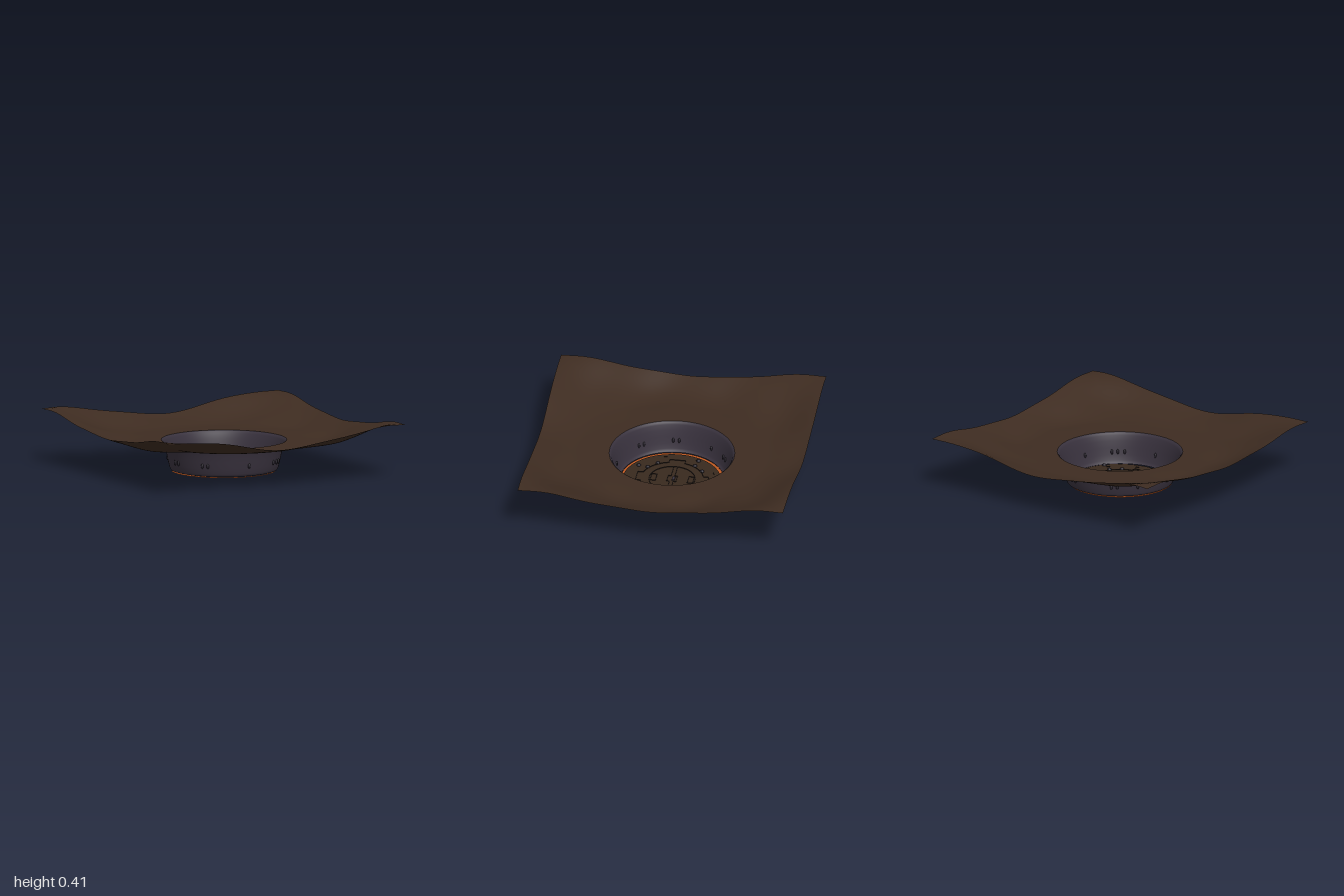
import * as THREE from 'three';

const soil = new THREE.MeshStandardMaterial({ name: 'brown soil', color: 0x3e2c21, side: THREE.DoubleSide });
const stone = new THREE.MeshStandardMaterial({ name: 'purple stone', color: 0x39323e, side: THREE.DoubleSide });
const glow = new THREE.MeshStandardMaterial({ name: 'orange', color: 0xbf5a22, side: THREE.DoubleSide });
const hatch = new THREE.MeshStandardMaterial({ name: 'brown hatch', color: 0x38291e, side: THREE.DoubleSide });
const dark = new THREE.MeshStandardMaterial({ name: 'dark line', color: 0x1b1512 });
const iron = new THREE.MeshStandardMaterial({ name: 'dark iron', color: 0x25212a });

function add(parent, name, geometry, material, x = 0, y = 0, z = 0) {
  const mesh = new THREE.Mesh(geometry, material);
  mesh.name = name;
  mesh.position.set(x, y, z);
  parent.add(mesh);
  return mesh;
}

// Ground rises from the pit rim to the corners, with soft crossing ripples
function groundHeight(x, z) {
  const r = Math.hypot(x, z);
  const fade = THREE.MathUtils.smoothstep(r, 0.5, 0.95);
  const ripple = -0.0055 * (Math.cos(12.4 * z + 5 * x) + Math.cos(12.4 * z - 5 * x)) - 0.006 * Math.cos(9 * x + z);
  return 0.232 + 0.167 * THREE.MathUtils.smoothstep(r, 0.7, 1.35) + fade * ripple;
}

// Grid running from the round rim out to the square border
function groundGeometry() {
  const segs = 192, rings = 48, pos = [], index = [];
  for (let j = 0; j <= rings; j++) {
    for (let i = 0; i < segs; i++) {
      const a = (i / segs) * Math.PI * 2, c = Math.cos(a), s = Math.sin(a);
      const r = THREE.MathUtils.lerp(0.467, 1 / Math.max(Math.abs(c), Math.abs(s)), j / rings);
      pos.push(r * c, groundHeight(r * c, r * s), r * s);
      if (j === rings) continue;
      const p = j * segs + i, q = j * segs + (i + 1) % segs;
      index.push(p, q, p + segs, q, q + segs, p + segs);
    }
  }
  const g = new THREE.BufferGeometry();
  g.setAttribute('position', new THREE.Float32BufferAttribute(pos, 3));
  g.setIndex(index);
  g.computeVertexNormals();
  return g;
}

// Pit wall profile: radius, height
const wallProfile = [[0.385, 0.008], [0.397, 0.012], [0.405, 0.03], [0.416, 0.07], [0.426, 0.12],
  [0.437, 0.17], [0.449, 0.21], [0.457, 0.225], [0.468, 0.232]];

function flatRing(inner, outer, offset = 0) {
  const shape = new THREE.Shape().absarc(-offset / 3, 0, outer, 0, Math.PI * 2);
  shape.holes.push(new THREE.Path().absarc(offset, 0, inner, 0, Math.PI * 2, true));
  return new THREE.ShapeGeometry(shape, 96).rotateX(-Math.PI / 2);
}

// Thin grooves drawn as bars through the hatch plate
function line(parent, x1, z1, x2, z2) {
  const bar = add(parent, 'groove', new THREE.BoxGeometry(Math.hypot(x2 - x1, z2 - z1), 0.009, 0.005), dark,
    (x1 + x2) / 2, 0.01, (z1 + z2) / 2);
  bar.rotation.y = -Math.atan2(z2 - z1, x2 - x1);
}

function arc(parent, radius, start, end) {
  const n = Math.ceil((end - start) * 12);
  for (let i = 0; i < n; i++) {
    const a = start + (end - start) * i / n, b = start + (end - start) * (i + 1) / n;
    line(parent, radius * Math.cos(a), radius * Math.sin(a), radius * Math.cos(b), radius * Math.sin(b));
  }
}

function createHatch() {
  const group = new THREE.Group();
  group.name = 'hatch';
  add(group, 'hatchPlate', new THREE.CircleGeometry(0.366, 96).rotateX(-Math.PI / 2), hatch, 0.012, 0.01, 0);

  // Outer groove with a square tab on each side
  for (let k = 0; k < 4; k++) {
    const quarter = new THREE.Group();
    quarter.name = 'grooveQuarter';
    quarter.rotation.y = k * Math.PI / 2;
    arc(quarter, 0.235, 0.26, Math.PI / 2 - 0.26);
    line(quarter, 0.268, -0.06, 0.268, 0.06);
    for (const s of [-1, 1]) line(quarter, 0.227, s * 0.06, 0.268, s * 0.06);
    group.add(quarter);
  }

  // Central round door, split along x
  arc(group, 0.172, 0, Math.PI * 2);
  for (const s of [-1, 1]) {
    line(group, -0.17, s * 0.014, -0.04, s * 0.014);
    line(group, 0.04, s * 0.014, 0.17, s * 0.014);
    line(group, -0.04, s * 0.035, 0.04, s * 0.035);
    for (const t of [-1, 1]) {
      line(group, t * 0.04, s * 0.014, t * 0.04, s * 0.035);
      line(group, t * 0.045, s * 0.12, t * 0.045, s * 0.16);
    }
    line(group, -0.045, s * 0.12, 0.045, s * 0.12);
    line(group, -0.045, s * 0.16, 0.045, s * 0.16);
  }
  add(group, 'lock', new THREE.BoxGeometry(0.05, 0.012, 0.02), stone, 0, 0.011, -0.012);

  // Bolts in mirrored pairs
  const bolt = new THREE.SphereGeometry(0.016, 16, 8, 0, Math.PI * 2, 0, Math.PI / 2);
  for (const sx of [-1, 1]) for (const sz of [-1, 1])
    for (const [x, z] of [[0.135, 0.205], [0.203, 0.14]]) add(group, 'bolt', bolt, iron, sx * x, 0.01, sz * z);
  for (const [x, z] of [[0.15, -0.285], [-0.28, -0.155], [-0.15, 0.275], [0.295, 0.2]])
    add(group, 'rimBolt', bolt, iron, x, 0.01, z);
  for (const deg of [-62, -15, 35, 75, 160, 205, 245]) {
    const a = THREE.MathUtils.degToRad(deg);
    arc(group, 0.318, a, a + 0.08);
  }
  return group;
}

export function createModel() {
  const model = new THREE.Group();
  model.name = 'pitTerrain';
  add(model, 'ground', groundGeometry(), soil);
  add(model, 'pitWall', new THREE.LatheGeometry(wallProfile.map(p => new THREE.Vector2(...p)), 96), stone);
  add(model, 'orangeRing', flatRing(0.36, 0.386, 0.012), glow, 0, 0.001, 0);
  model.add(createHatch());

  // Small studs set through the pit wall
  const stud = new THREE.SphereGeometry(0.01, 12, 8).scale(1, 2, 1);
  for (const deg of [15, 45, 51, 58, 92, 135, 141, 172, 178, 215, 236, 242, 285, 291, 338]) {
    const a = THREE.MathUtils.degToRad(deg);
    add(model, 'wallStud', stud, iron, 0.421 * Math.cos(a), 0.09, 0.421 * Math.sin(a));
  }
  return model;
}
